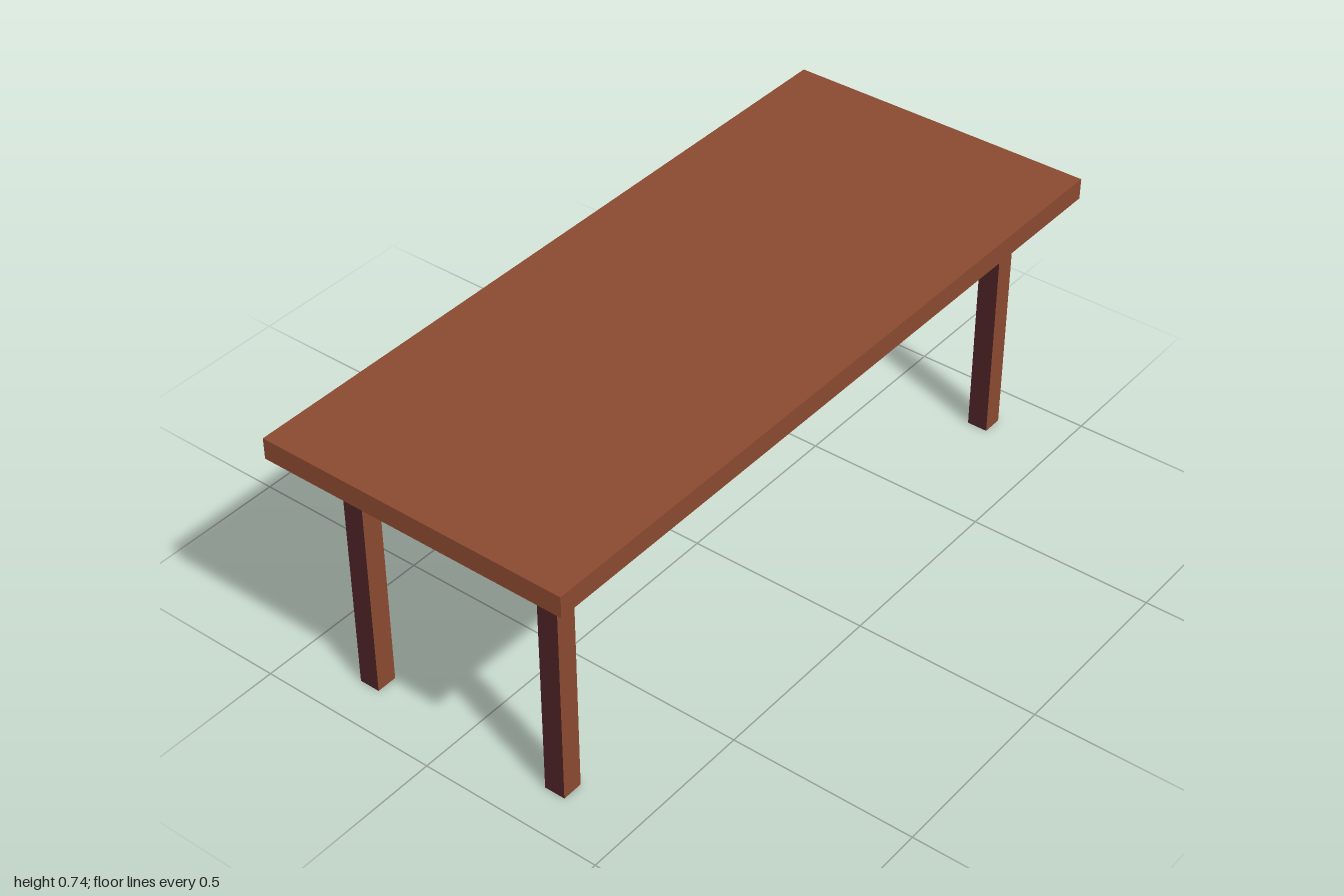
import * as THREE from 'three';

function material(name, color) {
  const m = new THREE.MeshStandardMaterial({ color });
  m.name = name;
  return m;
}

export function createModel() {
  const table = new THREE.Group();
  table.name = 'table';

  const brown = material('warm brown wood', 0x8a492f);
  const darkRed = material('dark red wood', 0x4d2325);
  const slate = material('slate grey', 0x5c5f72);

  const thickness = 0.057, legHeight = 0.686;

  // Box face order: +x, -x, +y, -y, +z, -z
  const addBox = (name, size, position, materials) => {
    const mesh = new THREE.Mesh(new THREE.BoxGeometry(...size), materials);
    mesh.name = name;
    mesh.position.set(...position);
    table.add(mesh);
  };

  // Table top with a darker underside
  addBox('tableTop', [2, thickness, 0.857], [0, legHeight + thickness / 2, 0],
    [brown, brown, brown, darkRed, brown, brown]);

  // Four square legs: brown front and back, dark red sides, grey soles
  for (const [side, x] of [['Left', 0.857], ['Right', -0.857]]) {
    for (const [end, z] of [['front', 0.286], ['back', -0.286]]) {
      addBox(`${end}${side}Leg`, [thickness, legHeight, thickness], [x, legHeight / 2, z],
        [darkRed, darkRed, brown, slate, brown, brown]);
    }
  }

  return table;
}
